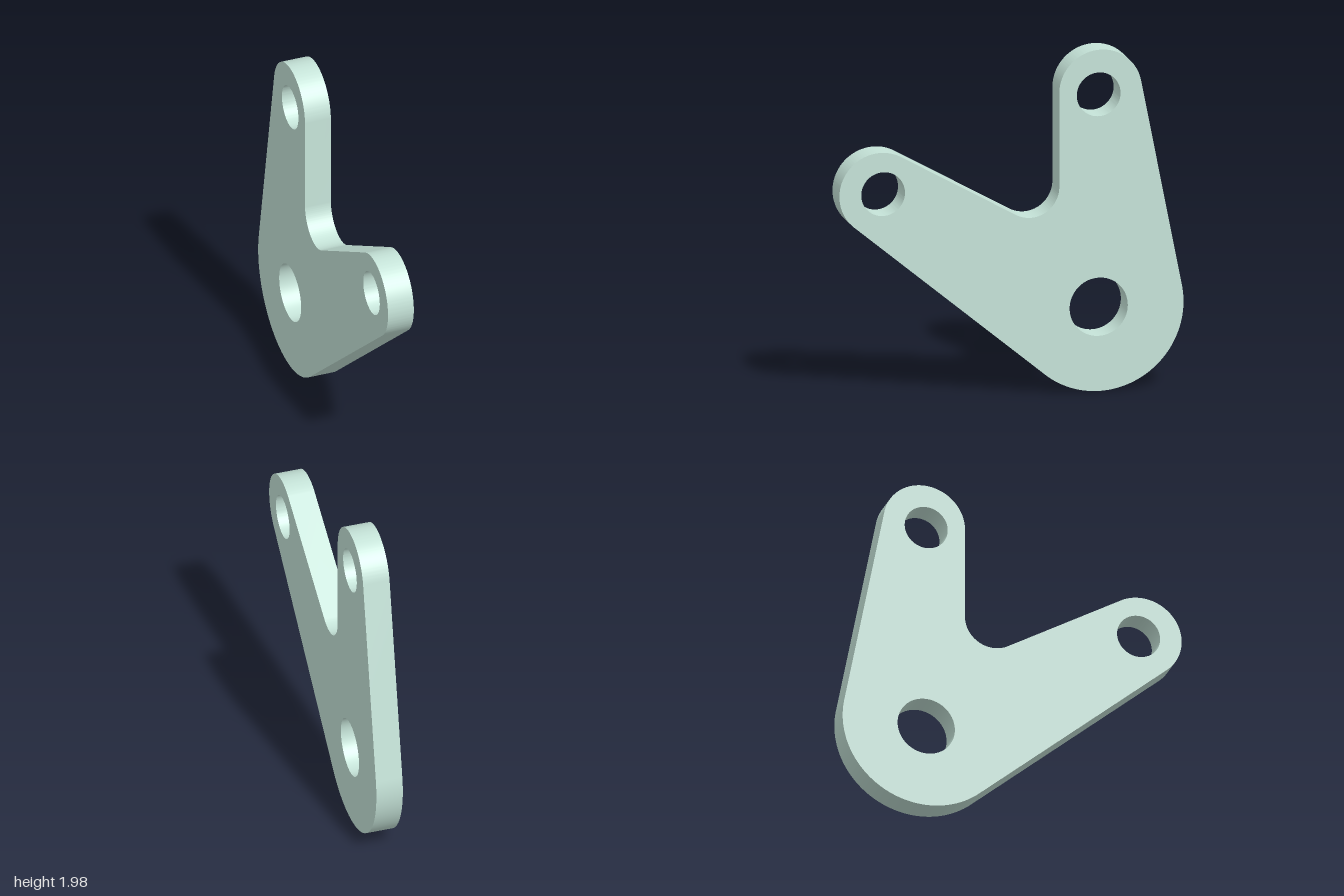
import * as THREE from 'three';
import { toCreasedNormals } from 'three/addons/utils/BufferGeometryUtils.js';

// Rounded corners of the plate, counter-clockwise, in the side plane (u = -z, v = y).
// A negative radius is a concave fillet.
const corners = [
  { u: 0.51, v: 0.49, r: 0.49 },     // pivot end
  { u: 0.518, v: 1.741, r: 0.24 },   // upright arm
  { u: 0.11, v: 1.198, r: -0.168 },  // inner fillet
  { u: -0.76, v: 1.222, r: 0.24 },   // forward arm
];

// Round through holes: u, v, radius
const holes = [
  [0.507, 0.489, 0.169],
  [0.507, 1.722, 0.127],
  [-0.746, 1.222, 0.127],
];

const thickness = 0.156;

// Direction of the outward normal of the straight edge that touches corners a and b
function edgeNormal(a, b) {
  const du = b.u - a.u, dv = b.v - a.v;
  return Math.atan2(dv, du) - Math.acos((a.r - b.r) / Math.hypot(du, dv));
}

export function createModel() {
  const group = new THREE.Group();
  group.name = 'bellCrank';

  // Outline: arcs joined by their common tangents
  const outline = new THREE.Shape();
  const n = corners.length;
  corners.forEach((c, i) => {
    const concave = c.r < 0;
    const turn = concave ? Math.PI : 0;
    const start = edgeNormal(corners[(i + n - 1) % n], c) + turn;
    const end = edgeNormal(c, corners[(i + 1) % n]) + turn;
    outline.absarc(c.u, c.v, Math.abs(c.r), start, end, concave);
  });
  outline.closePath();

  for (const [u, v, r] of holes) {
    outline.holes.push(new THREE.Path().absarc(u, v, r, 0, Math.PI * 2, true));
  }

  // Plate, extruded across its thickness and turned into the side plane
  const extruded = new THREE.ExtrudeGeometry(outline, {
    depth: thickness, bevelEnabled: false, curveSegments: 48,
  });
  extruded.translate(0, 0, -thickness / 2);
  extruded.rotateY(Math.PI / 2);

  const plate = new THREE.Mesh(
    toCreasedNormals(extruded, 0.5),
    new THREE.MeshStandardMaterial({ color: 0xc5e3d8 })
  );
  plate.name = 'leverPlate';
  group.add(plate);
  return group;
}
